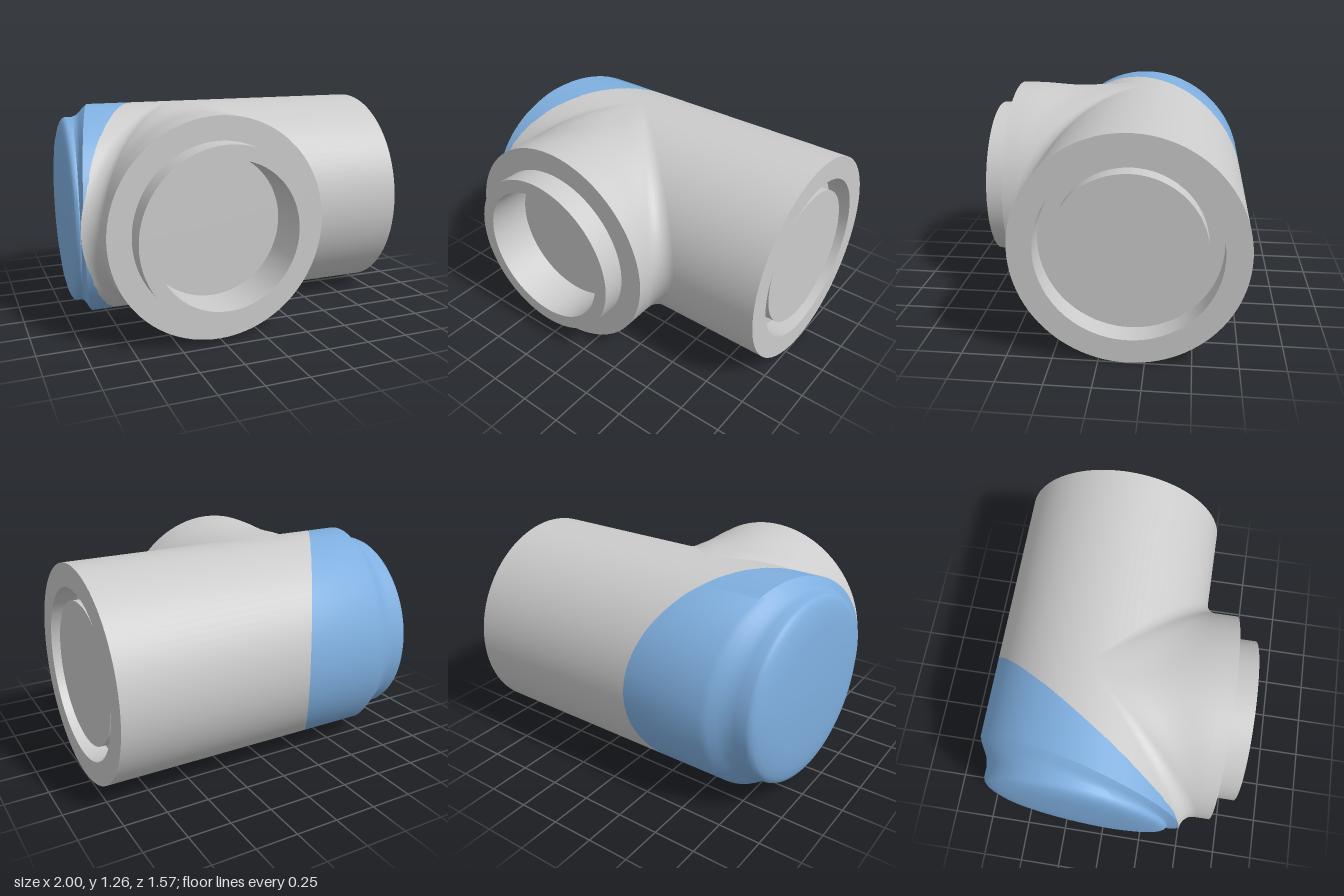
import * as THREE from 'three';
import { toCreasedNormals } from 'three/addons/utils/BufferGeometryUtils.js';

const R = 0.63;        // pipe radius
const CY = 0.63;       // height of both axes
const CZ = -0.157;     // z of the main axis
const BX = -0.25;      // x of the branch axis
const FILLET = 0.095;  // rolling-ball radius between pipe and branch
const COLLAR = 0.56;   // z where the branch collar starts

const grey = new THREE.MeshStandardMaterial({ color: 0xcccccc });
const blue = new THREE.MeshStandardMaterial({ color: 0x7fafe0 });

// Closed ring grid: point(angle, row) gives one vertex
function ringGrid(point, rows, segments = 96) {
  const positions = [], index = [];
  for (let j = 0; j < rows; j++)
    for (let i = 0; i < segments; i++)
      positions.push(...point((i / segments) * Math.PI * 2, j));
  for (let j = 0; j < rows - 1; j++)
    for (let i = 0; i < segments; i++) {
      const k = (i + 1) % segments;
      const a = j * segments + i, b = j * segments + k;
      const c = a + segments, d = b + segments;
      index.push(a, b, c, b, d, c);
    }
  const g = new THREE.BufferGeometry();
  g.setAttribute('position', new THREE.Float32BufferAttribute(positions, 3));
  g.setIndex(index);
  return toCreasedNormals(g, 0.6);
}

// Loft of tilted sections around the main axis: [radius, x at back, x at front]
function tiltedLoft(sections) {
  return ringGrid((a, j) => {
    const [r, back, front] = sections[j];
    const x = (back + front) / 2 + ((front - back) / 2) * Math.cos(a);
    return [x, CY + r * Math.sin(a), CZ + r * Math.cos(a)];
  }, sections.length);
}

function lathe(points) {
  const g = new THREE.LatheGeometry(points.map(([r, h]) => new THREE.Vector2(r, h)), 96);
  return toCreasedNormals(g, 0.6);
}

// Rolling-ball fillet from the main pipe, then the branch wall up to the collar
function branchBlend() {
  const arcRows = 12, wallRows = 12;
  return ringGrid((a, j) => {
    const c = Math.cos(a), s = Math.sin(a), ac = Math.abs(c), side = Math.sign(c);
    const reach = (R + FILLET) * ac;
    if (j <= arcRows) {
      const t = (j / arcRows) * Math.PI / 2;
      const dir = new THREE.Vector3(-ac * Math.sin(t), -s * (Math.sin(t) + Math.cos(t)), -ac * Math.cos(t));
      dir.normalize().multiplyScalar(FILLET);
      return [BX + side * (reach + dir.x), CY + (R + FILLET) * s + dir.y, CZ + reach + dir.z];
    }
    const t = (j - arcRows) / wallRows;
    const dip = 1 - 0.025 * Math.sin(Math.PI * t) ** 2 * s ** 4;
    return [BX + R * c, CY + R * s * dip, THREE.MathUtils.lerp(CZ + reach, COLLAR, t)];
  }, arcRows + wallRows + 1);
}

export function createModel() {
  const group = new THREE.Group();
  const add = (name, geometry, material = grey) => {
    const mesh = new THREE.Mesh(geometry, material);
    mesh.name = name;
    group.add(mesh);
    return mesh;
  };

  // Main pipe, cut off obliquely where the end cap begins
  add('mainPipe', tiltedLoft([[R, 1, 1], [R, -0.13, -0.955]]));

  // Open end: annular groove around a slightly recessed core
  const socket = lathe([[0, 0.97], [0.415, 0.97], [0.415, 0.86], [0.495, 0.86], [0.495, 1], [R, 1]].reverse());
  socket.rotateZ(-Math.PI / 2);
  add('pipeSocket', socket).position.set(0, CY, CZ);

  // Branch flowing out of the main pipe
  add('branchBlend', branchBlend());

  // Branch collar with its hollow spigot
  const spigot = lathe([
    [R, COLLAR], [R, 0.65], [0.495, 0.65], [0.495, 0.785],
    [0.415, 0.785], [0.415, 0.52], [0, 0.52],
  ]);
  spigot.rotateX(Math.PI / 2);
  add('branchSpigot', spigot).position.set(BX, CY, 0);

  // Coloured end cap: sleeve, concave shoulder, neck and gently domed face
  add('endCap', tiltedLoft([
    [R, -0.13, -0.95], [R, -0.63, -0.957],
    [0.612, -0.67, -0.957], [0.588, -0.71, -0.958], [0.567, -0.75, -0.959], [0.556, -0.8, -0.961],
    [0.557, -0.865, -0.967], [0.55, -0.885, -0.98], [0.535, -0.9, -0.988], [0.51, -0.915, -0.994],
    [0.45, -0.938, -0.999], [0.37, -0.954, -1], [0.25, -0.97, -0.999], [0.12, -0.982, -0.996], [0.001, -0.99, -0.99],
  ]), blue);

  return group;
}
